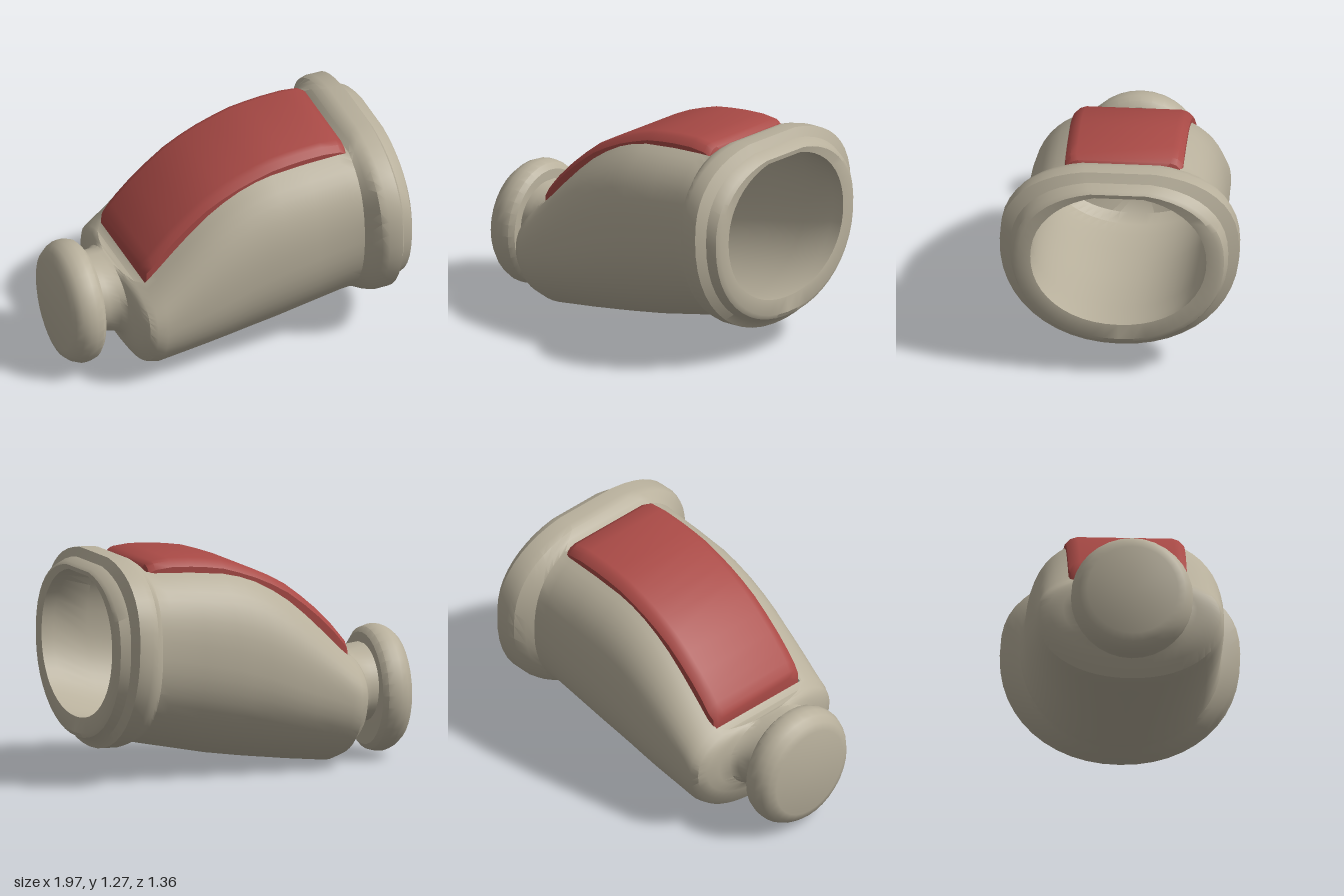
import * as THREE from 'three';
import { toCreasedNormals } from 'three/addons/utils/BufferGeometryUtils.js';

const stone = new THREE.MeshStandardMaterial({ color: 0xb8b09c });
stone.name = 'warm grey';
stone.side = THREE.DoubleSide;
const red = new THREE.MeshStandardMaterial({ color: 0xa94a46 });
red.name = 'brick red';
red.side = THREE.DoubleSide;

const PANEL_START = -0.58, PANEL_END = 0.67;

// Joins rings of points along x; skip(i, j) leaves openings, caps close the ends
function loft(rings, { skip, capStart = false, capEnd = false }) {
  const m = rings[0].length, pos = rings.flat(2), index = [];
  for (let i = 0; i < rings.length - 1; i++) {
    for (let j = 0; j < m; j++) {
      if (skip(i, j)) continue;
      const k = (j + 1) % m, a = i * m + j, b = i * m + k;
      index.push(a, b, b + m, a, b + m, a + m);
    }
  }
  const last = (rings.length - 1) * m;
  for (let j = 1; j < m - 1; j++) {
    if (capStart) index.push(0, j + 1, j);
    if (capEnd) index.push(last, last + j, last + j + 1);
  }
  const g = new THREE.BufferGeometry();
  g.setAttribute('position', new THREE.Float32BufferAttribute(pos, 3));
  g.setIndex(index);
  return toCreasedNormals(g, 0.6);
}

// Flat-topped superellipse ring; its last edge spans the flat top
function bodyRing([x, bottom, top, half, cy, n, flat]) {
  const t0 = Math.acos(Math.pow(flat / half, n / 2));
  const peak = Math.pow(Math.sin(t0), 2 / n);
  const steps = 44, ring = [];
  const lean = 0.02 * THREE.MathUtils.smoothstep(x, PANEL_END, 0.75);
  for (let s = 0; s <= steps; s++) {
    const t = t0 - (s / steps) * (Math.PI + 2 * t0);
    const c = Math.cos(t), sn = Math.sin(t);
    const e = sn > 0 ? n : 2.1;
    const z = half * Math.sign(c) * Math.pow(Math.abs(c), 2 / e);
    const h = Math.pow(Math.abs(sn), 2 / e);
    const y = sn > 0 ? cy + (top - cy) * h / peak : cy - (cy - bottom) * h;
    ring.push([x - lean * (y - 0.75), y, z]);
  }
  return ring;
}

function addMesh(group, name, geometry, material) {
  const mesh = new THREE.Mesh(geometry, material);
  mesh.name = name;
  group.add(mesh);
  return mesh;
}

export function createModel() {
  const group = new THREE.Group();
  group.name = 'hollowCowl';

  // Sections: x, bottom, top, half width, widest height, roundness, half width of flat top
  const outer = [
    [-0.84, 0.20, 0.65, 0.25, 0.42, 2, 0.04],
    [-0.76, 0.20, 0.64, 0.255, 0.42, 2, 0.04],
    [-0.70, 0.19, 0.63, 0.275, 0.42, 2, 0.05],
    [-0.67, 0.185, 0.625, 0.31, 0.42, 2, 0.07],
    [-0.657, 0.18, 0.62, 0.38, 0.42, 2.1, 0.12],
    [-0.645, 0.15, 0.62, 0.46, 0.42, 2.2, 0.19],
    [-0.62, 0.09, 0.62, 0.51, 0.41, 2.3, 0.27],
    [PANEL_START, 0.025, 0.635, 0.53, 0.40, 2.4, 0.33],
    [-0.52, 0.0, 0.69, 0.535, 0.41, 2.5, 0.33],
    [-0.40, 0.012, 0.81, 0.54, 0.45, 2.6, 0.33],
    [-0.30, 0.022, 0.905, 0.545, 0.485, 2.6, 0.33],
    [-0.20, 0.035, 0.99, 0.55, 0.52, 2.6, 0.33],
    [-0.10, 0.047, 1.057, 0.553, 0.56, 2.6, 0.33],
    [0.0, 0.06, 1.11, 0.555, 0.60, 2.6, 0.33],
    [0.1, 0.075, 1.147, 0.557, 0.63, 2.6, 0.33],
    [0.2, 0.09, 1.17, 0.56, 0.66, 2.6, 0.33],
    [0.4, 0.13, 1.19, 0.56, 0.70, 2.6, 0.33],
    [0.6, 0.17, 1.20, 0.56, 0.74, 2.6, 0.33],
    [PANEL_END, 0.185, 1.20, 0.57, 0.75, 2.6, 0.33],
  ];
  const rim = [
    [0.70, 0.18, 1.235, 0.61, 0.78, 2.5, 0.28],
    [0.74, 0.165, 1.265, 0.665, 0.80, 2.5, 0.22],
    [0.78, 0.158, 1.275, 0.68, 0.80, 2.5, 0.2],
    [0.86, 0.16, 1.275, 0.68, 0.80, 2.5, 0.2],
    [0.89, 0.20, 1.225, 0.62, 0.78, 2.4, 0.18],
    [0.945, 0.225, 1.205, 0.60, 0.77, 2.3, 0.17],
    [0.96, 0.25, 1.19, 0.57, 0.77, 2.3, 0.16],
    [0.955, 0.34, 1.165, 0.50, 0.77, 2.1, 0.14],
    [0.88, 0.33, 1.165, 0.50, 0.77, 2.1, 0.14],
  ];
  const inner = [
    [PANEL_END, 0.28, 1.15, 0.51, 0.75, 2.4, 0.33],
    [0.4, 0.22, 1.14, 0.51, 0.70, 2.5, 0.33],
    [0.2, 0.18, 1.12, 0.51, 0.66, 2.5, 0.33],
    [0.0, 0.15, 1.06, 0.505, 0.60, 2.5, 0.33],
    [-0.2, 0.12, 0.94, 0.50, 0.52, 2.5, 0.33],
    [-0.4, 0.10, 0.76, 0.49, 0.45, 2.5, 0.33],
    [-0.52, 0.10, 0.65, 0.47, 0.41, 2.4, 0.33],
    [PANEL_START, 0.14, 0.615, 0.43, 0.41, 2.3, 0.33],
    [-0.61, 0.21, 0.61, 0.25, 0.42, 2, 0.04],
    [-0.76, 0.21, 0.61, 0.25, 0.42, 2, 0.04],
  ];
  const sections = [...outer, ...rim, ...inner];
  const rings = sections.map(bodyRing);
  const topEdge = rings[0].length - 1;
  const inPanel = (s) => s[0] >= PANEL_START && s[0] <= PANEL_END;

  // Hollow shell with neck, rim and an opening in its top for the panel
  addMesh(group, 'shell', loft(rings, {
    skip: (i, j) => j === topEdge && inPanel(sections[i]) && inPanel(sections[i + 1]),
    capEnd: true,
  }), stone);

  // Curved panel, open underneath: x, lower edge, upper face, end rounding
  const panel = [
    [-0.58, 0.62, 0.70, 0.03], [-0.565, 0.62, 0.73, 0.008], [-0.53, 0.64, 0.77, 0],
    [-0.48, 0.69, 0.83, 0], [-0.4, 0.77, 0.91, 0], [-0.3, 0.865, 0.995, 0],
    [-0.2, 0.95, 1.07, 0], [-0.1, 1.02, 1.125, 0], [0, 1.07, 1.17, 0],
    [0.1, 1.11, 1.205, 0], [0.2, 1.13, 1.235, 0], [0.3, 1.145, 1.25, 0],
    [0.4, 1.15, 1.26, 0], [0.52, 1.155, 1.265, 0], [0.62, 1.155, 1.255, 0],
    [0.655, 1.15, 1.235, 0.008], [0.67, 1.15, 1.205, 0.03],
  ];
  const panelRings = panel.map(([x, lo, hi, inset]) => {
    const side = [[0.27, hi], [0.305, hi - 0.012], [0.335, hi - 0.045], [0.335, lo]];
    const half = side.map(([z, y]) => [x, y, z - inset]);
    return [...half, ...half.map(([px, y, z]) => [px, y, -z]).reverse()];
  });
  const topPanel = addMesh(group, 'topPanel', loft(panelRings, {
    skip: (i, j) => j === 3,
    capStart: true,
    capEnd: true,
  }), red);
  topPanel.position.z = -0.01;

  // Rounded end knob
  const profile = [
    [0, 0], [0.27, 0], [0.315, 0.015], [0.345, 0.05], [0.362, 0.09],
    [0.362, 0.13], [0.35, 0.17], [0.32, 0.195], [0.25, 0.2], [0, 0.2],
  ].map(([r, h]) => new THREE.Vector2(r, h));
  const knob = addMesh(group, 'endKnob', toCreasedNormals(new THREE.LatheGeometry(profile, 32), 0.6), stone);
  knob.rotation.z = -Math.PI / 2;
  knob.scale.z = 0.955;
  knob.position.set(-1, 0.383, 0);

  return group;
}
